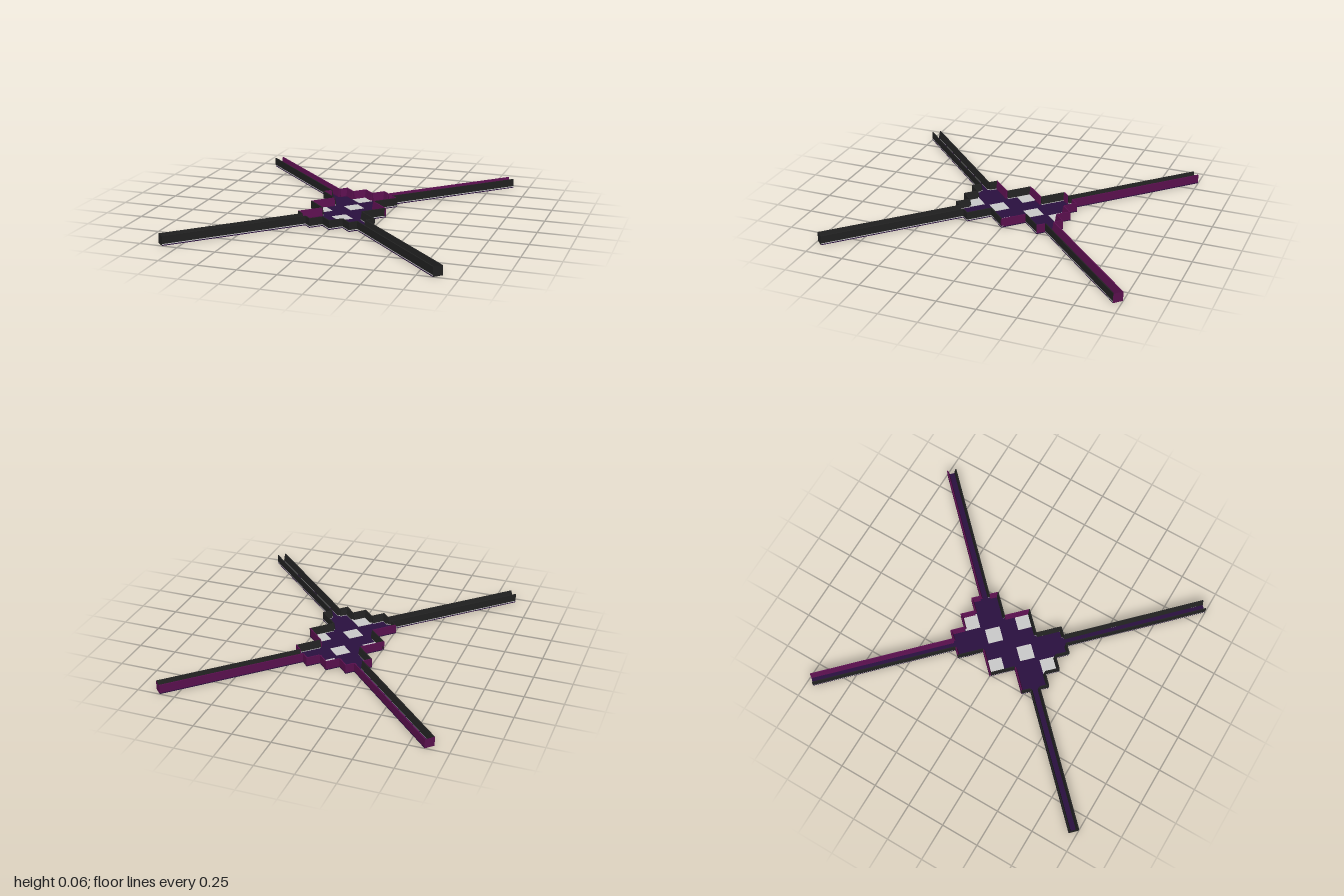
import * as THREE from 'three';

const mat = (color) => new THREE.MeshStandardMaterial({ color, flatShading: true });
const dark = mat(0x222222), magenta = mat(0x5c1050), purple = mat(0x2a1040), grey = mat(0xcccccc);
const FLOOR = 0.006, SKIRT = 0.012, TOP = 0.062, HALF = 0.0325;

function add(parent, name, geometry, material) {
  const mesh = new THREE.Mesh(geometry, material);
  mesh.name = name;
  parent.add(mesh);
  return mesh;
}

// Flat slab from x/z points, rising from y0 to y1
function slab(points, y0, y1) {
  const shape = new THREE.Shape(points.map(([x, z]) => new THREE.Vector2(x, -z)));
  const g = new THREE.ExtrudeGeometry(shape, { depth: y1 - y0, bevelEnabled: false });
  return g.rotateX(-Math.PI / 2).translate(0, y0, 0);
}

// Bar running from p to q; the section's first axis points inwards, its second up
function bar(p, q, section) {
  const dx = q[0] - p[0], dz = q[1] - p[1], length = Math.hypot(dx, dz);
  const along = new THREE.Vector3(dx / length, 0, dz / length);
  const inward = new THREE.Vector3(along.z, 0, -along.x);
  const shape = new THREE.Shape(section.map(([a, b]) => new THREE.Vector2(a, b)));
  const g = new THREE.ExtrudeGeometry(shape, { depth: length, bevelEnabled: false });
  const m = new THREE.Matrix4().makeBasis(inward, new THREE.Vector3(0, 1, 0), along);
  return g.applyMatrix4(m.setPosition(p[0], 0, p[1]));
}

// Wall with a sloping inner face, on a pale skirting strip where it is dark
function wall(parent, name, p, q, material) {
  add(parent, name, bar(p, q, [[0, SKIRT], [0.016, SKIRT], [0.007, TOP], [0, TOP]]), material);
  const skirt = material === dark ? grey : magenta;
  add(parent, name + 'Skirting', bar(p, q, [[0, FLOOR], [0.014, FLOOR], [0.014, SKIRT], [0, SKIRT]]), skirt);
}

export function createModel() {
  const model = new THREE.Group();

  // Stepped outline of the central room, one quarter mirrored to four
  const quarter = [[0, 0.375], [0.067, 0.308], [0.132, 0.373], [0.26, 0.24], [0.14, 0.12], [0.26, 0]];
  const back = quarter.slice(0, -1).reverse().map(([x, z]) => [x, -z]);
  const half = [...quarter, ...back];
  const outline = [...half, ...half.slice(1, -1).reverse().map(([x, z]) => [-x, z])];

  const room = new THREE.Group();
  room.name = 'centralRoom';
  model.add(room);
  add(room, 'roomFloor', slab(outline, 0, FLOOR), purple);

  outline.forEach((p, i) => {
    const q = outline[(i + 1) % outline.length];
    const dx = q[0] - p[0], dz = q[1] - p[1], length = Math.hypot(dx, dz);
    const mid = [(p[0] + q[0]) / 2, (p[1] + q[1]) / 2];
    // the outward direction is (-dz, dx)
    const material = dx < 0 && (dz > 0 || mid[1] < 0) ? magenta : dark;
    if (length > 0.18) {
      // leave a doorway for the corridor
      const t = HALF / length;
      wall(room, 'roomWall', p, [mid[0] - dx * t, mid[1] - dz * t], material);
      wall(room, 'roomWall', [mid[0] + dx * t, mid[1] + dz * t], q, material);
    } else wall(room, 'roomWall', p, q, material);
  });

  // Pale diamond tiles
  const r = 0.07;
  for (const [x, z] of [[0, 0.295], [0, 0.12], [0, -0.12], [0, -0.295], [0.18, 0], [-0.18, 0]]) {
    const diamond = [[x, z + r], [x + r, z], [x, z - r], [x - r, z]];
    add(room, 'floorTile', slab(diamond, FLOOR - 0.003, FLOOR + 0.003), grey);
  }

  // Four long diagonal corridors
  for (const sx of [1, -1]) for (const sz of [1, -1]) {
    const corridor = new THREE.Group();
    corridor.name = 'corridor';
    model.add(corridor);
    const a = [0.194 * sx, 0.305 * sz], b = [0.872 * sx, 0.976 * sz];
    const dx = b[0] - a[0], dz = b[1] - a[1], length = Math.hypot(dx, dz);
    const nx = dz / length * HALF, nz = -dx / length * HALF;
    const side = (p, s) => [p[0] + nx * s, p[1] + nz * s];
    add(corridor, 'corridorFloor', slab([side(a, 1), side(b, 1), side(b, -1), side(a, -1)], 0, FLOOR), purple);
    const colour = (outwardZ) => (sz < 0 && outwardZ < 0 ? magenta : dark);
    wall(corridor, 'corridorWall', side(a, -1), side(b, -1), colour(-nz));
    wall(corridor, 'corridorWall', side(b, 1), side(a, 1), colour(nz));
    // end wall, seen from outside only
    const end = add(corridor, 'endWall', new THREE.PlaneGeometry(2 * HALF, TOP), sz < 0 ? magenta : dark);
    end.position.set(b[0] + dx / length * 0.0005, TOP / 2, b[1] + dz / length * 0.0005);
    end.rotation.y = Math.atan2(dx, dz);
  }
  return model;
}
